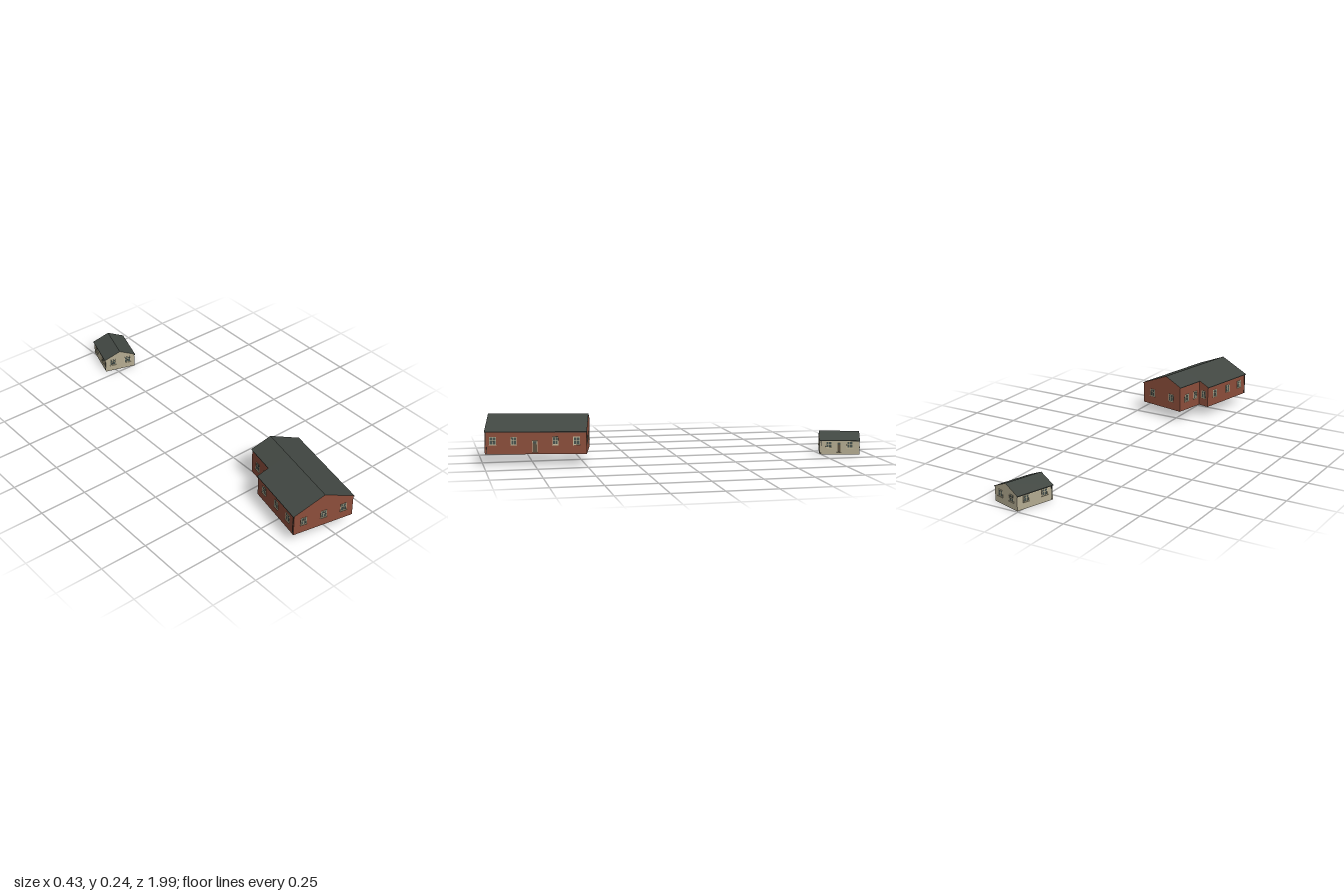
import * as THREE from 'three';

const mat = (name, color, side = THREE.FrontSide) => {
  const m = new THREE.MeshStandardMaterial({ color, side });
  m.name = name;
  return m;
};

export function createModel() {
  const M = {
    brick: mat('brick', 0x8c4e3b, THREE.DoubleSide),
    cream: mat('cream render', 0xb5ac92, THREE.DoubleSide),
    slate: mat('roof slate', 0x414742, THREE.DoubleSide),
    gutter: mat('dark gutter', 0x2c302d),
    trim: mat('window trim', 0xc6bc9c),
    glass: mat('glass', 0x46514d),
    door: mat('door wood', 0x5c5140),
  };

  const box = (parent, name, material, w, h, d, x, y, z) => {
    const m = new THREE.Mesh(new THREE.BoxGeometry(w, h, d), material);
    m.name = name;
    m.position.set(x, y, z);
    parent.add(m);
  };

  // Flat-shaded sheet made from four-cornered faces
  const quads = (parent, name, material, list) => {
    const pos = [];
    for (const [a, b, c, d] of list) pos.push(...a, ...b, ...c, ...a, ...c, ...d);
    const g = new THREE.BufferGeometry();
    g.setAttribute('position', new THREE.Float32BufferAttribute(pos, 3));
    g.computeVertexNormals();
    const m = new THREE.Mesh(g, material);
    m.name = name;
    parent.add(m);
  };

  // Openings face +z locally; y = 0 is their bottom edge
  function makeWindow(w, h) {
    const g = new THREE.Group(), t = 0.003;
    g.name = 'window';
    box(g, 'glass', M.glass, w, h, 0.001, 0, h / 2, 0.0005);
    for (const s of [-1, 1]) box(g, 'sideFrame', M.trim, t, h, 0.002, s * (w - t) / 2, h / 2, 0.001);
    for (const y of [t / 2, h * 0.58, h - t / 2]) box(g, 'crossBar', M.trim, w, y === h * 0.58 ? 0.002 : t, 0.002, 0, y, 0.001);
    box(g, 'mullion', M.trim, 0.0025, h, 0.002, 0, h / 2, 0.001);
    box(g, 'sill', M.trim, w + 0.004, 0.002, 0.005, 0, -0.001, 0.0025);
    return g;
  }
  function makeDoor(w, h) {
    const g = new THREE.Group(), t = 0.003;
    g.name = 'door';
    box(g, 'doorLeaf', M.door, w, h, 0.001, 0, h / 2, 0.0005);
    for (const s of [-1, 1]) box(g, 'doorPost', M.trim, t, h, 0.003, s * w / 2, h / 2, 0.0015);
    box(g, 'doorHead', M.trim, w + t, t, 0.003, 0, h, 0.0015);
    box(g, 'transomGlass', M.glass, w - t, 0.008, 0.0015, 0, h - 0.007, 0.001);
    box(g, 'doorStep', M.trim, w + 0.006, 0.003, 0.008, 0, -0.0015, 0.004);
    return g;
  }

  // o: hw/hl half sizes, eave/ridge heights above the base, optional back-left notch {u, v}
  function makeHouse(name, o) {
    const house = new THREE.Group();
    house.name = name;
    const { hw, hl, eave, ridge, notch } = o;
    const roofY = u => ridge - (ridge - eave) * Math.abs(u) / hw;

    // Footprint, with a point under the ridge on each gable
    const plan = [[-hw, hl], [0, hl], [hw, hl], [hw, -hl], [0, -hl]];
    if (notch) plan.push([notch.u, -hl], [notch.u, notch.v], [-hw, notch.v]);
    else plan.push([-hw, -hl]);
    quads(house, 'walls', o.wall, plan.map(([u, v], i) => {
      const [p, q] = plan[(i + 1) % plan.length];
      return [[u, 0, v], [p, 0, q], [p, roofY(p), q], [u, roofY(u), v]];
    }));

    // Roof slopes: eave distance and the length range each covers
    const over = 0.005, gable = 0.0015, lift = 0.0008;
    const slopes = [[hw, hl + gable, -hl - gable]];
    if (notch) {
      slopes.push([-hw, hl + gable, notch.v - gable], [notch.u, notch.v - gable, -hl - gable]);
    } else slopes.push([-hw, hl + gable, -hl - gable]);
    quads(house, 'roof', M.slate, slopes.map(([e, front, back]) => {
      const x = e + Math.sign(e) * over, y = roofY(x) + lift, r = ridge + lift;
      const [a, ya, b, yb] = e > 0 ? [0, r, x, y] : [x, y, 0, r];
      return [[a, ya, front], [b, yb, front], [b, yb, back], [a, ya, back]];
    }));
    for (const [e, front, back] of slopes)
      box(house, 'gutter', M.gutter, over, 0.003, front - back,
        e + Math.sign(e) * over / 2, roofY(e) - 0.003, (front + back) / 2);

    // Downpipes by the front corners
    for (const s of [-1, 1])
      box(house, 'downpipe', M.gutter, 0.002, eave - 0.003, 0.002, s * (hw + 0.001), eave / 2, hl - 0.007);

    // Openings by wall: [facing angle, wall offset, [position along wall, width], ...]
    const place = (part, angle, offset, along, y) => {
      if (Math.abs(Math.sin(angle)) > 0.5) part.position.set(offset, y, along);
      else part.position.set(along, y, offset);
      part.rotation.y = angle;
      house.add(part);
    };
    for (const [angle, offset, ...list] of o.windows)
      for (const [along, w] of list) place(makeWindow(w, o.winH), angle, offset, along, o.winY);
    place(makeDoor(o.doorW, o.doorH), Math.PI / 2, hw, o.doorV, 0.012);
    return house;
  }

  const R = Math.PI / 2;
  const brickHouse = makeHouse('brickHouse', {
    wall: M.brick, hw: 0.162, hl: 0.2515, eave: 0.114, ridge: 0.182,
    notch: { u: -0.101, v: -0.085 }, winY: 0.047, winH: 0.04,
    doorW: 0.022, doorH: 0.054, doorV: 0.004,
    windows: [
      [0, 0.2515, [-0.109, 0.033], [0, 0.033], [0.109, 0.033]],
      [R, 0.162, [0.212, 0.034], [0.108, 0.029], [-0.097, 0.029], [-0.202, 0.034]],
      [2 * R, -0.2515, [0.096, 0.033], [-0.037, 0.033]],
      [-R, -0.162, [-0.024, 0.033], [0.09, 0.033], [0.196, 0.033]],
      [-R, -0.101, [-0.194, 0.033], [-0.121, 0.03]],
      [2 * R, -0.085, [-0.132, 0.026]],
    ],
  });
  brickHouse.position.set(0, 0.06, 0.715);
  brickHouse.rotation.y = -0.2;

  const cottage = makeHouse('creamCottage', {
    wall: M.cream, hw: 0.0845, hl: 0.1035, eave: 0.076, ridge: 0.113,
    winY: 0.035, winH: 0.034, doorW: 0.018, doorH: 0.053, doorV: 0.003,
    windows: [
      [0, 0.1035, [-0.043, 0.034], [0.043, 0.034]],
      [R, 0.0845, [0.056, 0.032], [-0.053, 0.032]],
      [2 * R, -0.1035, [-0.042, 0.034], [0.042, 0.034]],
      [-R, -0.0845, [-0.052, 0.034], [0.056, 0.034]],
    ],
  });
  cottage.position.set(0.057, 0, -0.869);
  cottage.rotation.y = -0.3;

  const model = new THREE.Group();
  model.name = 'twoHouses';
  model.add(brickHouse, cottage);
  return model;
}
